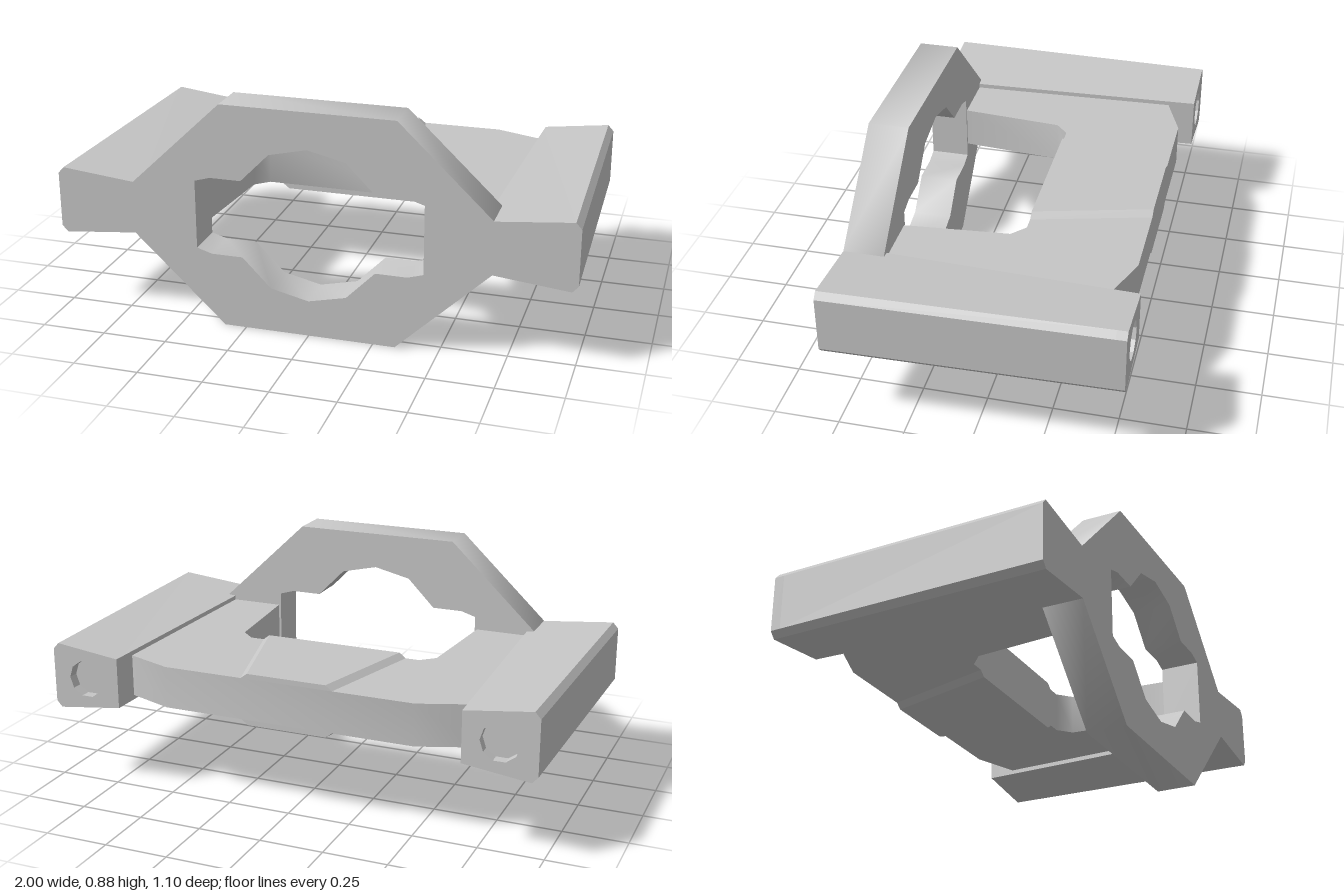
import * as THREE from 'three';
import { toCreasedNormals } from 'three/addons/utils/BufferGeometryUtils.js';

const grey = new THREE.MeshStandardMaterial({ color: 0xc6c6c6 });
grey.name = 'grey';

const CREASE = 0.85;

const shapeOf = (pts) => new THREE.Shape(pts.map(([x, y]) => new THREE.Vector2(x, y)));

// Extrudes a shape between two z positions
function prism(shape, z0, z1) {
  const g = new THREE.ExtrudeGeometry(shape, { depth: z1 - z0, bevelEnabled: false, steps: 1 });
  return g.translate(0, 0, z0);
}

// Changes every x by a rule of (x, z), for parts that taper in plan
function taper(geometry, rule) {
  const p = geometry.attributes.position;
  for (let i = 0; i < p.count; i++) p.setX(i, rule(p.getX(i), p.getZ(i)));
  geometry.computeVertexNormals();
  return geometry;
}

// Repeats one quarter outline in all four quadrants, counter-clockwise
function fourWay(quarter) {
  const right = [...quarter, ...quarter.slice().reverse().map(([x, y]) => [x, -y])];
  const left = right.slice().reverse().map(([x, y]) => [-x, y]);
  const all = [...right, ...left];
  return all.filter(([x, y], i) => {
    const [px, py] = all[(i + all.length - 1) % all.length];
    return Math.hypot(x - px, y - py) > 1e-6;
  }).reverse();
}

export function createModel() {
  const model = new THREE.Group();
  const body = new THREE.Group();
  body.name = 'body';
  body.position.y = 0.4425;
  model.add(body);

  const add = (name, geometry, parent = body) => {
    const mesh = new THREE.Mesh(geometry, grey);
    mesh.name = name;
    parent.add(mesh);
    return mesh;
  };

  // Upright front frame with a stepped opening
  const frame = shapeOf(fourWay([[0.335, 0.4425], [0.69, 0.105]]));
  frame.holes.push(shapeOf(fourWay([
    [0, 0.3], [0.147, 0.266], [0.258, 0.153], [0.38, 0.153], [0.44, 0.135],
  ])));
  add('frontFrame', toCreasedNormals(prism(frame, 0.395, 0.55), CREASE));

  // Flat U-shaped bridge, drawn in plan with y = -z
  const half = [
    [0.505, 0.51], [0.72, 0.43], [0.72, -0.4], [0.45, -0.4], [0.415, 0.01], [0.36, 0.06],
  ];
  const plan = [...half, ...half.slice().reverse().map(([x, y]) => [-x, y])];
  const bridge = prism(shapeOf(plan), -0.0825, 0.0825);
  bridge.rotateX(-Math.PI / 2);
  add('bridge', toCreasedNormals(bridge, CREASE));

  // Raised bevelled pads above and below the bridge, narrower at the back
  const padSection = shapeOf([[-0.305, 0.0825], [0.305, 0.0825], [0.279, 0.1025], [-0.279, 0.1025]]);
  const pad = taper(prism(padSection, -0.51, -0.06),
    (x, z) => x + Math.sign(x) * THREE.MathUtils.mapLinear(z, -0.51, -0.06, -0.12, 0));
  add('upperPad', pad);
  add('lowerPad', pad).rotation.z = Math.PI;

  // Side rails: wedge section, tapering in plan, with a shallow bore at the back
  const section = [
    [0.695, -0.1], [0.955, -0.1325], [0.977, -0.108],
    [0.977, 0.108], [0.955, 0.1325], [0.695, 0.1],
  ];
  const bored = shapeOf(section);
  const bore = [];
  for (let i = 0; i < 10; i++) {
    const a = (i / 10) * Math.PI * 2;
    bore.push([0.835 + 0.074 * Math.cos(a), 0.074 * Math.sin(a)]);
  }
  bored.holes.push(shapeOf(bore));

  // Towards the front the outer side moves out and the inner side moves in
  const railRule = (x, z) => x + (x > 0.95 ? 0.023 : -0.04) * (z + 0.55) / 1.1;
  const railEnd = taper(prism(bored, -0.55, -0.51), railRule);
  const railBar = taper(prism(shapeOf(section), -0.51, 0.55), railRule);

  for (const [name, turn] of [['leftRail', 0], ['rightRail', Math.PI]]) {
    const rail = new THREE.Group();
    rail.name = name;
    rail.rotation.z = turn;
    add('railBar', railBar, rail);
    add('railBoredEnd', railEnd, rail);
    body.add(rail);
  }

  return model;
}
